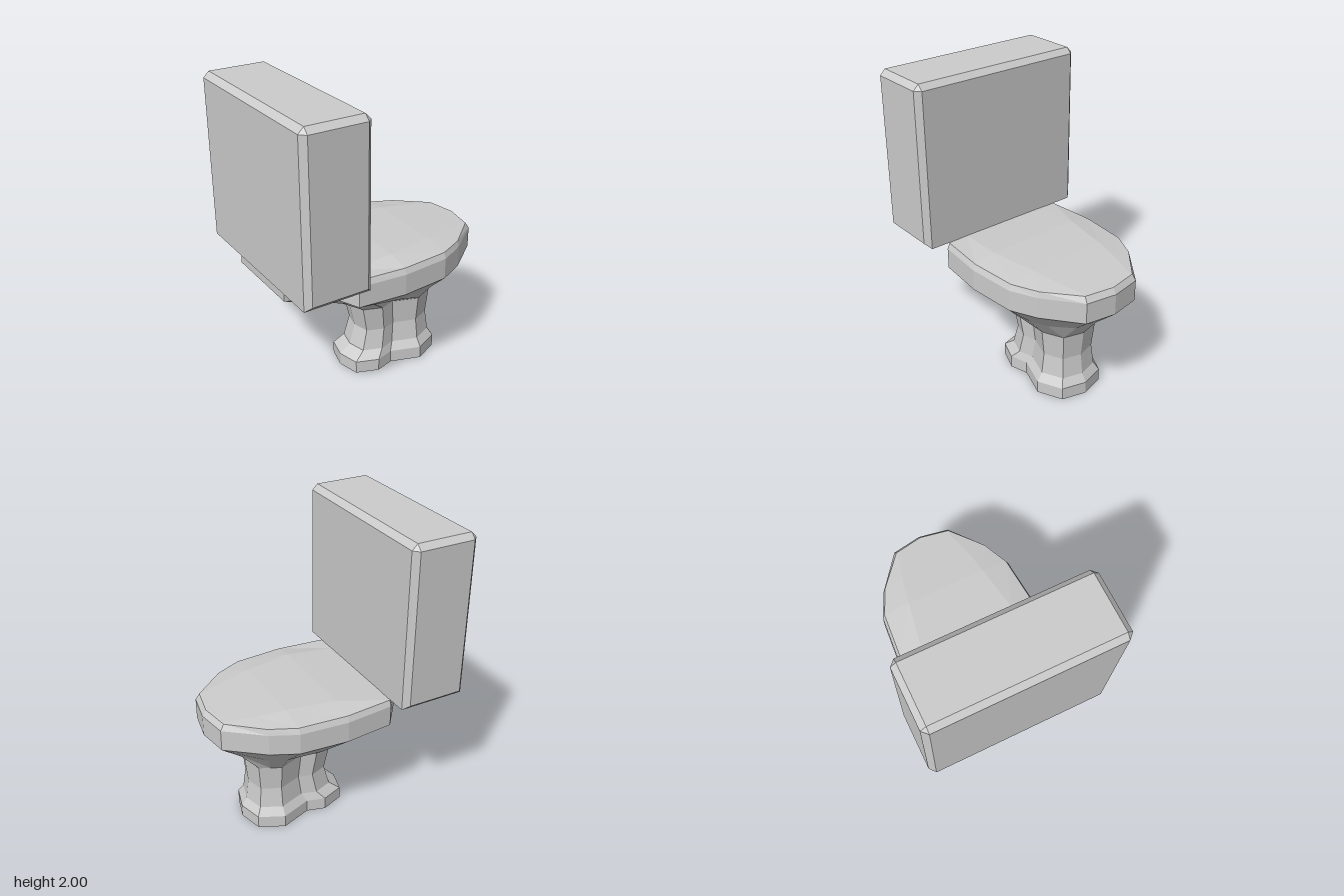
import * as THREE from 'three';

// Complete a half outline (front point, +z side, back point) by mirroring it in z.
function mirrorRing(half) {
  const other = half.slice(1, -1).reverse().map(([x, y, z]) => [x, y, -z]);
  return [...half, ...other];
}

// Skin a stack of half outlines, bottom to top, and close both ends with cross strips.
function loft(name, halves) {
  const rings = halves.map(mirrorRing);
  const n = rings[0].length;
  const pos = [];
  const tri = (a, b, c) => pos.push(...a, ...b, ...c);
  const quad = (a, b, c, d) => { tri(a, b, c); tri(a, c, d); };

  for (let r = 0; r < rings.length - 1; r++) {
    const lo = rings[r], hi = rings[r + 1];
    for (let i = 0; i < n; i++) {
      const j = (i + 1) % n;
      quad(lo[i], hi[i], hi[j], lo[j]);
    }
  }
  const bottom = rings[0], top = rings[rings.length - 1];
  for (let i = 0; i < n / 2; i++) {
    const j = i + 1, mi = (n - i) % n, mj = n - j;
    quad(top[i], top[mi], top[mj], top[j]);
    quad(bottom[i], bottom[j], bottom[mj], bottom[mi]);
  }

  const geo = new THREE.BufferGeometry();
  geo.setAttribute('position', new THREE.Float32BufferAttribute(pos, 3));
  geo.computeVertexNormals();
  const mesh = new THREE.Mesh(geo, new THREE.MeshStandardMaterial({ color: 0xcccccc, flatShading: true }));
  mesh.name = name;
  return mesh;
}

// Foot outline, waisted between a wide front lobe and a smaller back lobe
const FOOT = [[0.525, 0], [0.48, 0.16], [0.4, 0.198], [0.32, 0.235], [0.12, 0.165],
  [0, 0.2], [-0.145, 0.145], [-0.163, 0.073], [-0.18, 0]];
const footRing = (y, s) => FOOT.map(([x, z]) => [0.3 + (x - 0.3) * s, y, z * s]);

// Rim outline, with the narrower ledge that carries the tank at the back
const RIM = [[0.755, 0], [0.72, 0.2], [0.49, 0.38], [0.32, 0.46], [0, 0.487],
  [-0.32, 0.457], [-0.45, 0.3], [-0.73, 0.28], [-0.73, 0]];
const RIM_BASE = [0.74, 0.74, 0.74, 0.74, 0.74, 0.74, 0.78, 0.83, 0.83];

function makePedestal() {
  return loft('pedestal', [[0, 1], [0.085, 1], [0.14, 0.84], [0.28, 0.76], [0.46, 0.84]]
    .map(([y, s]) => footRing(y, s)));
}

function makeBowl() {
  const belly = [[0.6, 0], [0.57, 0.14], [0.44, 0.26], [0.33, 0.31], [0.1, 0.335],
    [-0.1, 0.29], [-0.22, 0.2], [-0.29, 0.12], [-0.3, 0]].map(([x, z]) => [x, 0.6, z]);
  const rimLow = RIM.map(([x, z], i) => [x, RIM_BASE[i], z]);
  const rimHigh = RIM.map(([x, z]) => [x, 0.88, z]);
  // Bevelled lid edge
  const lidEdge = RIM.map(([x, z], i) => [i < 2 ? x - 0.025 : x, 0.918, i < 6 ? z * 0.965 : z]);
  // Gently raised lid
  const lidTop = [[0.715, 0.919, 0], [0.69, 0.92, 0.185], [0.5, 0.933, 0.235], [0.32, 0.945, 0.27],
    [0, 0.946, 0.325], [-0.32, 0.922, 0.3], [-0.45, 0.919, 0.29], [-0.73, 0.919, 0.27], [-0.73, 0.919, 0]];
  return loft('bowl', [footRing(0.46, 0.84), belly, rimLow, rimHigh, lidEdge, lidTop]);
}

function makeTank() {
  const cx = -0.54, w = 0.22, d = 0.608, b = 0.036;
  const ring = (y, pts) => pts.map(([x, z]) => [cx + x, y, z]);
  const octagon = [[w, 0], [w, d - b], [w - b, d], [b - w, d], [-w, d - b], [-w, 0]];
  const rect = (x, z) => [[x, 0], [x, z], [x, z], [-x, z], [-x, z], [-x, 0]];
  return loft('tank', [
    ring(0.92, rect(w, d - b)),
    ring(0.956, octagon),
    ring(1.964, octagon),
    ring(2, rect(w - b, d - b)),
  ]);
}

export function createModel() {
  const group = new THREE.Group();
  group.name = 'toilet';
  group.add(makePedestal(), makeBowl(), makeTank());
  return group;
}
